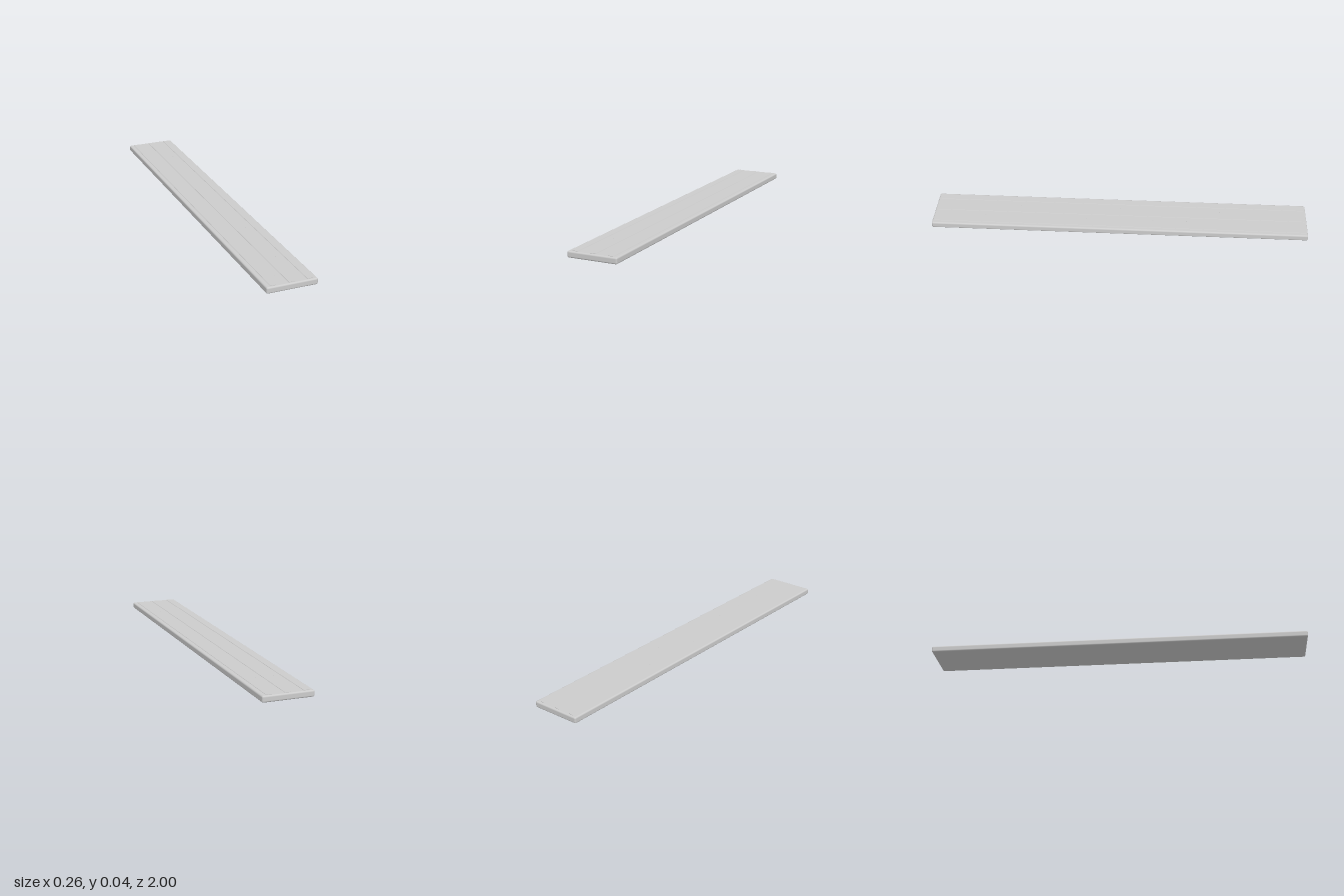
import * as THREE from 'three';
import { RoundedBoxGeometry } from 'three/addons/geometries/RoundedBoxGeometry.js';

const grey = new THREE.MeshStandardMaterial({ color: 0xcccccc });

export function createModel() {
  const model = new THREE.Group();
  model.name = 'plank';
  const add = (name, geometry, x, y, z) => {
    const mesh = new THREE.Mesh(geometry, grey);
    mesh.name = name;
    mesh.position.set(x, y, z);
    model.add(mesh);
  };

  // Long board with softly rounded edges
  add('board', new RoundedBoxGeometry(0.265, 0.033, 2, 3, 0.008), 0, 0.0165, 0);

  // Three thin raised strips with bevelled edges
  const w = 0.015, h = 0.0022, b = 0.0015;
  const profile = new THREE.Shape([
    new THREE.Vector2(-w, 0), new THREE.Vector2(w, 0),
    new THREE.Vector2(w - b, h), new THREE.Vector2(-w + b, h),
  ]);
  const strip = new THREE.ExtrudeGeometry(profile, { depth: 1.976, bevelEnabled: false });
  strip.translate(0, 0, -0.988);
  for (const x of [-0.095, 0, 0.095]) add('raisedStrip', strip, x, 0.0328, 0);

  // Tiny fastener heads in two rows between the strips
  const stud = new THREE.CylinderGeometry(0.002, 0.0025, 0.001, 8);
  for (const x of [-0.047, 0.047]) {
    for (let i = -5; i <= 5; i++) add('fastener', stud, x, 0.0332, i * 0.18);
  }
  return model;
}
